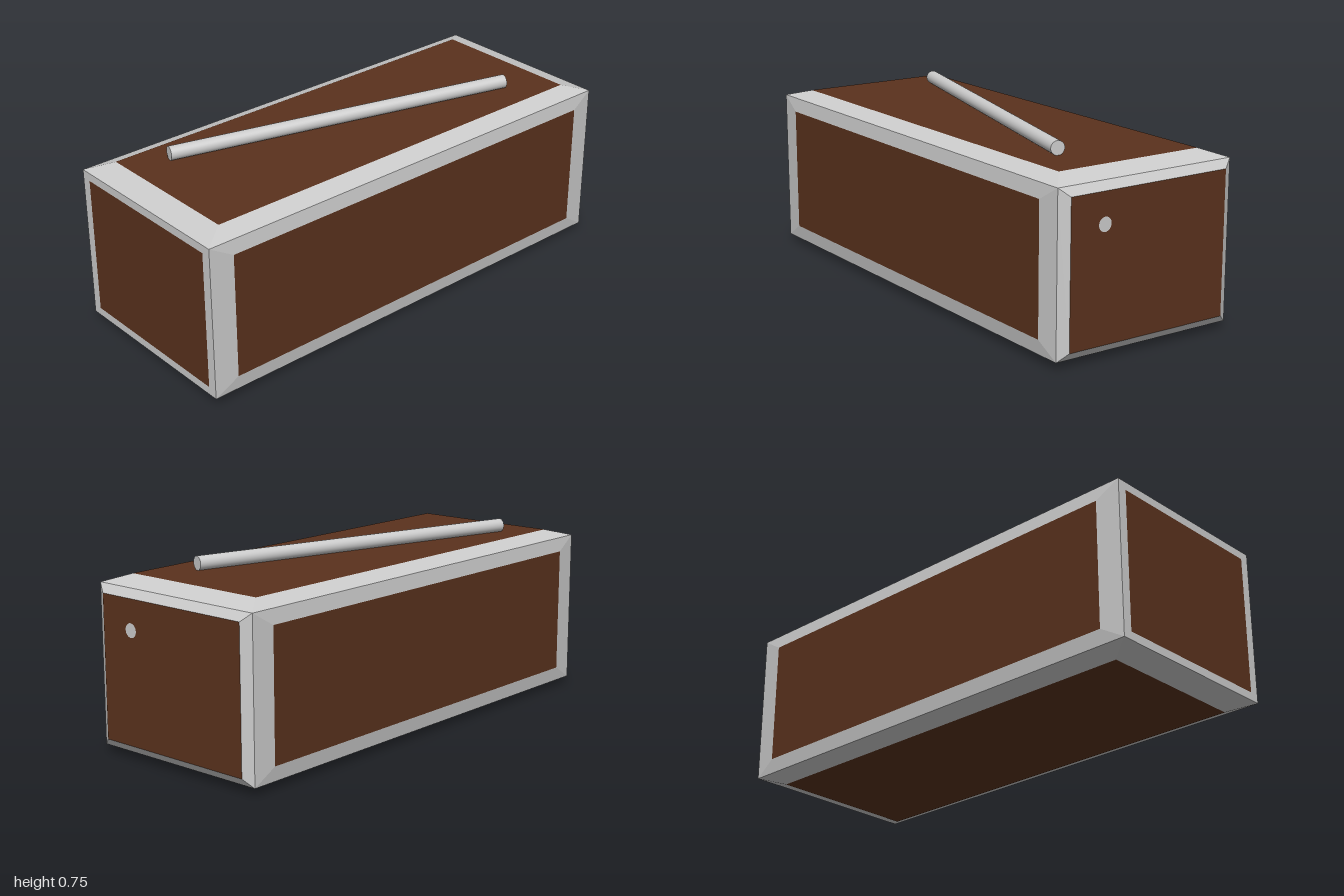
import * as THREE from 'three';

const grey = new THREE.MeshStandardMaterial({ color: 0xcccccc, flatShading: true });
const smoothGrey = new THREE.MeshStandardMaterial({ color: 0xcccccc });
const brown = new THREE.MeshStandardMaterial({ color: 0x5a321d, flatShading: true });

// Block corners, as [x, y, z] limits
const low = [-0.395, 0.03, -0.975];
const high = [0.395, 0.663, 1];

// Four corners of a rectangle lying across the given axis, counter-clockwise from outside
function rectangle(axis, sign, level, lo, hi) {
  const u = (axis + 1) % 3, v = (axis + 2) % 3;
  const loop = [[lo, lo], [hi, lo], [hi, hi], [lo, hi]].map(([a, b]) => {
    const p = [0, 0, 0];
    p[axis] = level;
    p[u] = a[u];
    p[v] = b[v];
    return p;
  });
  return sign > 0 ? loop : loop.reverse();
}

function quadMesh(name, quads, material) {
  const points = quads.flatMap(([a, b, c, d]) => [a, b, c, a, c, d]).flat();
  const geometry = new THREE.BufferGeometry();
  geometry.setAttribute('position', new THREE.Float32BufferAttribute(points, 3));
  geometry.computeVertexNormals();
  const mesh = new THREE.Mesh(geometry, material);
  mesh.name = name;
  return mesh;
}

// One side of the block: a sloping grey border around a raised brown panel
function side(name, axis, sign, level, lo, hi) {
  const outer = rectangle(axis, sign, (sign > 0 ? high : low)[axis], low, high);
  const inner = rectangle(axis, sign, level, lo, hi);
  const border = outer.map((p, i) => {
    const j = (i + 1) % 4;
    return [p, outer[j], inner[j], inner[i]];
  });
  const group = new THREE.Group();
  group.name = name;
  group.add(quadMesh(name + 'Border', border, grey), quadMesh(name + 'Panel', [inner], brown));
  return group;
}

export function createModel() {
  const model = new THREE.Group();
  model.name = 'panelledBlock';

  // Long sides, top and bottom share one panel inset; the ends have a narrower one
  const longLow = [-0.32, 0.09, -0.88], longHigh = [0.32, 0.605, 0.9];
  const endLow = [-0.355, 0.063, 0], endHigh = [0.355, 0.63, 0];
  model.add(
    side('leftSide', 0, 1, 0.403, longLow, longHigh),
    side('rightSide', 0, -1, -0.403, longLow, longHigh),
    side('top', 1, 1, 0.691, longLow, longHigh),
    side('bottom', 1, -1, 0, longLow, longHigh),
    side('frontEnd', 2, 1, 1, endLow, endHigh),
    side('backEnd', 2, -1, -0.999, endLow, endHigh)
  );

  // Rod lying diagonally on the top panel
  const start = new THREE.Vector3(-0.2, 0.718, 0.738);
  const end = new THREE.Vector3(0.177, 0.718, -0.685);
  const axis = end.clone().sub(start);
  const rod = new THREE.Mesh(new THREE.CylinderGeometry(0.028, 0.028, axis.length(), 32), smoothGrey);
  rod.name = 'rod';
  rod.position.copy(start).add(end).multiplyScalar(0.5);
  rod.quaternion.setFromUnitVectors(new THREE.Vector3(0, 1, 0), axis.normalize());
  model.add(rod);

  // Round spot on the back panel
  const spot = new THREE.Mesh(new THREE.CircleGeometry(0.028, 32), smoothGrey);
  spot.name = 'backSpot';
  spot.position.set(0.205, 0.51, -1);
  spot.rotation.y = Math.PI;
  model.add(spot);

  return model;
}
